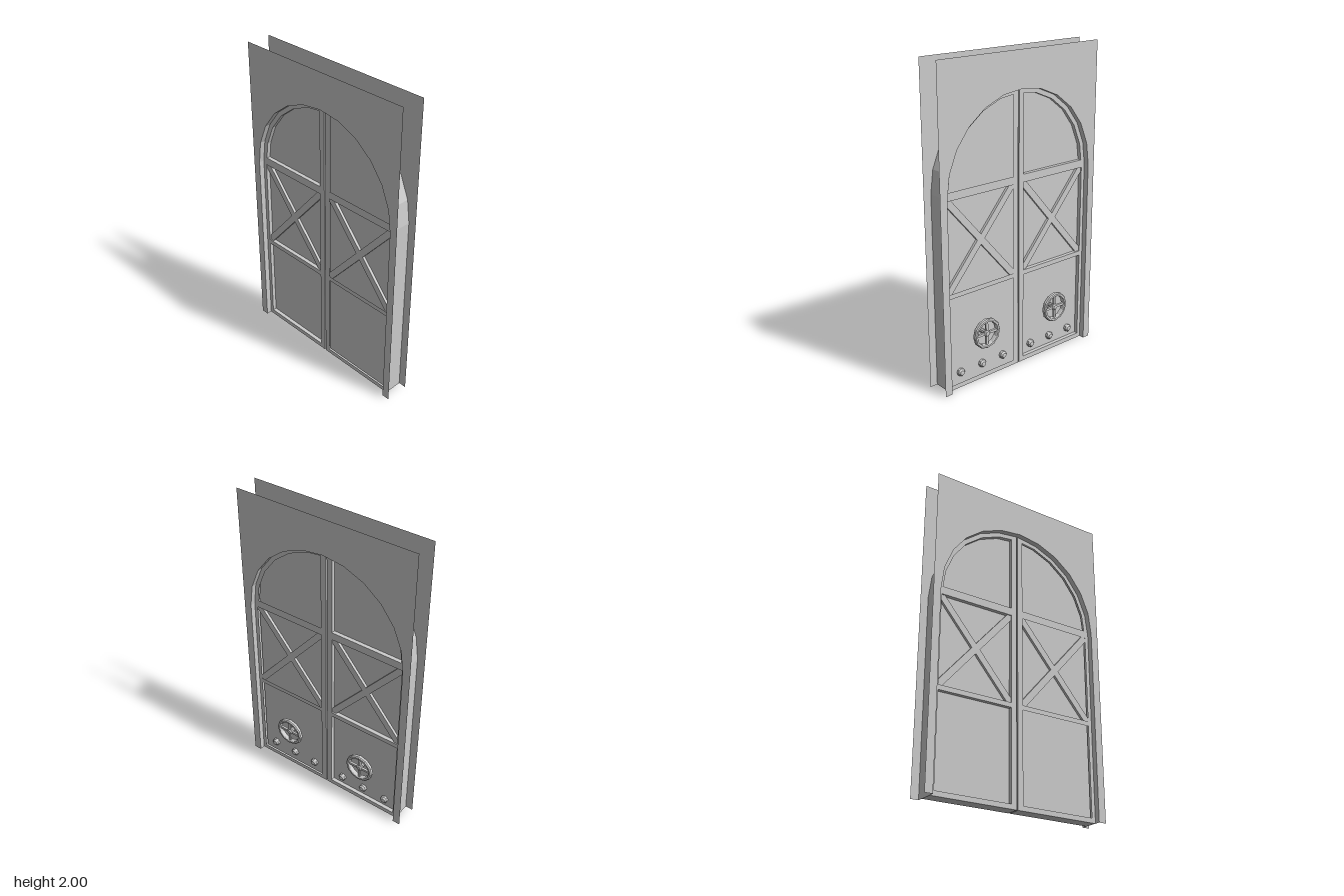
import * as THREE from 'three';

const material = new THREE.MeshStandardMaterial({ color: 0xcccccc, flatShading: true });
const thin = new THREE.MeshStandardMaterial({ color: 0xcccccc, flatShading: true, side: THREE.DoubleSide });

// Depths through the wall, back to front
const WALL = [-0.085, 0.07], FRAME = [-0.05, 0.035], BAR = [-0.042, 0.027], PANEL = [-0.025, 0.01];
const SPRING = 1.22, RADIUS = 0.555, STEPS = 12;

function add(parent, name, geometry, mat = material) {
  const mesh = new THREE.Mesh(geometry, mat);
  mesh.name = name;
  parent.add(mesh);
  return mesh;
}

const toPoints = (list) => list.map(([u, v]) => new THREE.Vector2(u, v));

// Extrude an outline between two depths
function slab(shape, [back, front]) {
  return new THREE.ExtrudeGeometry(shape, { depth: front - back, bevelEnabled: false }).translate(0, 0, back);
}

// Whole arched opening, from one foot to the other
function archOutline(r) {
  const pts = [[r, 0]];
  for (let i = 0; i <= STEPS; i++) {
    const a = (Math.PI * i) / STEPS;
    pts.push([r * Math.cos(a), SPRING + r * Math.sin(a)]);
  }
  pts.push([-r, 0]);
  return pts;
}

// One side of an arch, cut off at the inner edge and at the bottom
function halfArch(r, inner, bottom, s) {
  const pts = [[inner, bottom], [r, bottom]];
  for (let i = 0; i < STEPS / 2; i++) {
    const a = (Math.PI * i) / STEPS;
    pts.push([r * Math.cos(a), SPRING + r * Math.sin(a)]);
  }
  // Meet the straight inner edge on the last facet
  const a = (Math.PI * (STEPS / 2 - 1)) / STEPS;
  const x0 = r * Math.cos(a), y0 = r * Math.sin(a);
  pts.push([inner, SPRING + y0 + (r - y0) * (1 - inner / x0)]);
  return toPoints(pts.map(([u, v]) => [u * s, v]));
}

function rect(u0, u1, v0, v1, s) {
  return toPoints([[u0 * s, v0], [u1 * s, v0], [u1 * s, v1], [u0 * s, v1]]);
}

function handWheel() {
  const wheel = new THREE.Group();
  wheel.name = 'handWheel';
  const rim = toPoints([[0.076, 0.05], [0.092, 0.05], [0.098, 0.057], [0.098, 0.073],
    [0.092, 0.08], [0.08, 0.08], [0.076, 0.074], [0.076, 0.05]]);
  add(wheel, 'wheelRim', new THREE.LatheGeometry(rim, 12).rotateX(Math.PI / 2));
  for (let i = 0; i < 2; i++) {
    add(wheel, 'wheelSpokes', new THREE.BoxGeometry(0.16, 0.016, 0.014)
      .rotateZ((i * Math.PI) / 2).translate(0, 0, 0.064));
  }
  const hub = toPoints([[0.014, 0], [0.014, 0.055], [0.022, 0.055], [0.022, 0.07], [0.014, 0.077], [0, 0.077]]);
  add(wheel, 'wheelHub', new THREE.LatheGeometry(hub, 8).rotateX(Math.PI / 2));
  return wheel;
}

function doorLeaf(s) {
  const leaf = new THREE.Group();
  leaf.name = s > 0 ? 'rightLeaf' : 'leftLeaf';

  // Stiles and rails around three recessed panels
  const frame = new THREE.Shape(halfArch(RADIUS, 0.004, 0, s));
  frame.holes.push(
    new THREE.Path(rect(0.04, 0.53, 0.03, 0.6, s)),
    new THREE.Path(rect(0.04, 0.53, 0.63, 1.2, s)),
    new THREE.Path(halfArch(0.527, 0.04, 1.25, s)));
  add(leaf, 'leafFrame', slab(frame, FRAME));
  add(leaf, 'leafPanel', slab(new THREE.Shape(halfArch(0.54, 0.02, 0.01, s)), PANEL));

  // Crossed braces in the middle panel
  const angle = Math.atan2(0.57, 0.49);
  for (const d of [-1, 1]) {
    const bar = add(leaf, 'crossBrace', new THREE.BoxGeometry(0.765, 0.042, BAR[1] - BAR[0]));
    bar.position.set(0.285 * s, 0.915, (BAR[0] + BAR[1]) / 2);
    bar.rotation.z = d * angle;
  }

  // Hand wheel and bolts on the front side only
  const wheel = handWheel();
  wheel.position.set(0.283 * s, 0.315, 0);
  leaf.add(wheel);
  const boltProfile = toPoints([[0.025, 0.005], [0.025, 0.026], [0.016, 0.036], [0, 0.038]]);
  for (const u of [0.117, 0.283, 0.45]) {
    const bolt = add(leaf, 'bolt', new THREE.LatheGeometry(boltProfile, 8).rotateX(Math.PI / 2));
    bolt.position.set(u * s, 0.09, 0);
  }
  return leaf;
}

export function createModel() {
  const model = new THREE.Group();
  model.name = 'archedDoubleDoor';
  const door = new THREE.Group();
  door.name = 'doorway';
  door.rotation.y = Math.PI / 2; // the wheel side faces +x
  model.add(door);

  // Two wall sheets with the arched opening cut out
  const arch = archOutline(RADIUS);
  const wall = new THREE.Shape(toPoints([[0.605, 0], [0.605, 2], [-0.605, 2], [-0.605, 0], ...[...arch].reverse()]));
  WALL.forEach((depth, i) => {
    add(door, i ? 'frontWall' : 'backWall', new THREE.ShapeGeometry(wall).translate(0, 0, depth), thin);
  });

  // Jamb strip joining the sheets around the opening
  const positions = [], index = [];
  arch.forEach(([u, v], i) => {
    positions.push(u, v, WALL[0], u, v, WALL[1]);
    const k = i * 2;
    if (i) index.push(k - 2, k, k - 1, k, k + 1, k - 1);
  });
  const jamb = new THREE.BufferGeometry();
  jamb.setAttribute('position', new THREE.Float32BufferAttribute(positions, 3));
  jamb.setIndex(index);
  jamb.computeVertexNormals();
  add(door, 'jamb', jamb, thin);

  door.add(doorLeaf(1), doorLeaf(-1));
  return model;
}
